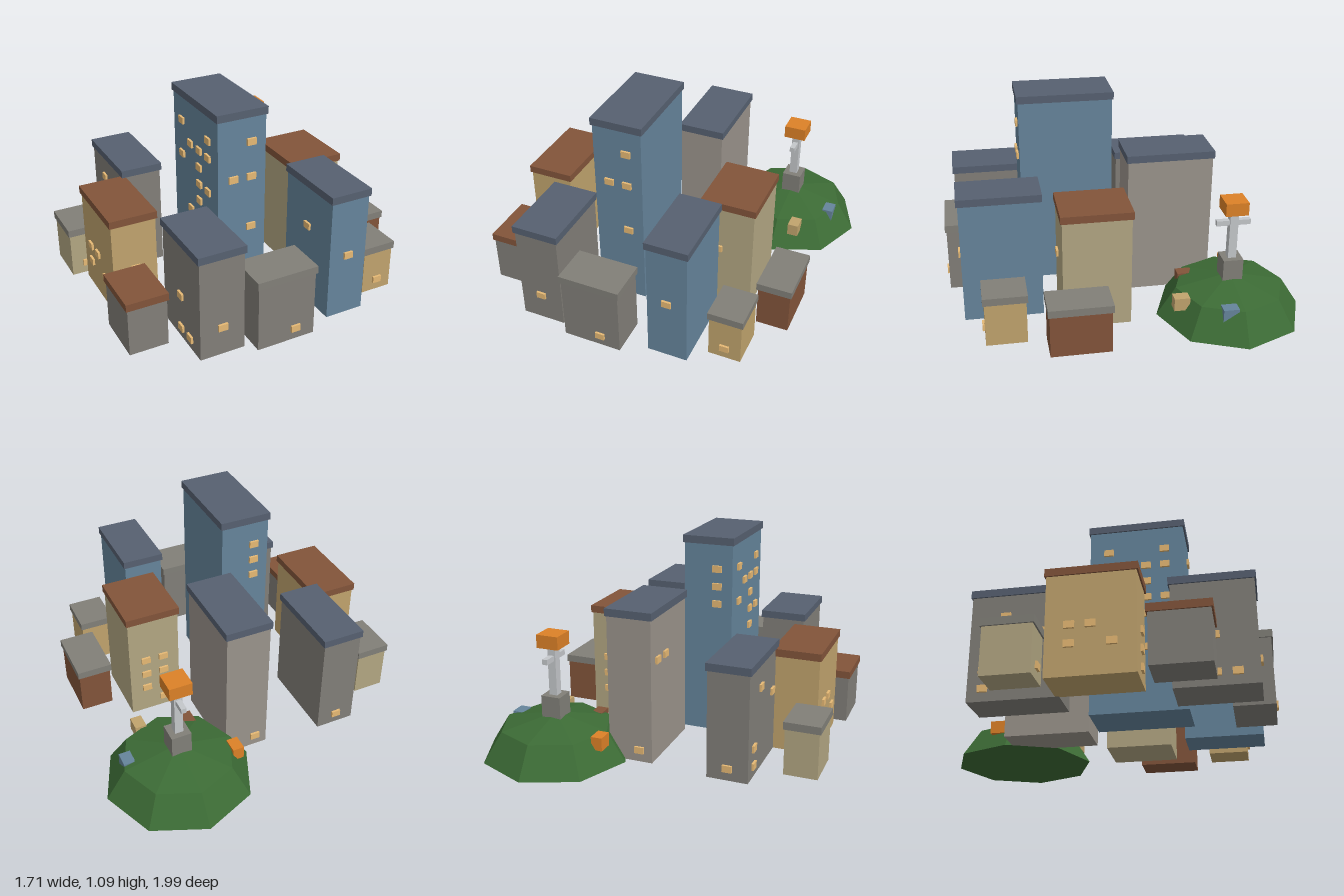
import * as THREE from 'three';

const TURN = -Math.PI / 12; // the whole town is turned to one street grid
const ROOF_H = 0.04, OVERHANG = 0.016;

const mat = (color) => new THREE.MeshStandardMaterial({ color, flatShading: true });
const M = {
  slate: mat(0x566070), brown: mat(0x82543a), grey: mat(0x817f78),
  blue: mat(0x65849b), stone: mat(0x9a938b), concrete: mat(0x817e78),
  gold: mat(0xc0a36d), khaki: mat(0xb2a682),
  glass: mat(0xe6b974), grass: mat(0x3c6b35), steel: mat(0xc4c7ca), orange: mat(0xdc8127),
};

function box(name, w, h, d, x, y, z, material) {
  const m = new THREE.Mesh(new THREE.BoxGeometry(w, h, d), material);
  m.name = name;
  m.position.set(x, y, z);
  return m;
}

// Each window code is "column row"; columns run from -x to +x or -z to +z.
function addWindows(group, w, d, windows) {
  for (const [face, cols, codes] of windows) {
    for (const code of codes.split(' ')) {
      const u = (Number(code[0]) - (cols - 1) / 2) * 0.1;
      const y = 0.065 + 0.0945 * Number(code[1]);
      if (face === 'front') group.add(box('window', 0.05, 0.036, 0.024, u, y, d / 2, M.glass));
      else {
        const side = face === 'right' ? 1 : -1;
        group.add(box('window', 0.024, 0.036, 0.05, side * w / 2, y, u, M.glass));
      }
    }
  }
}

// w and d are the roof's size, h the full height
function building(name, x, z, w, d, h, wall, roof, windows = []) {
  const g = new THREE.Group();
  g.name = name;
  const ww = w - OVERHANG, wd = d - OVERHANG;
  g.add(box('walls', ww, h - ROOF_H, wd, 0, (h - ROOF_H) / 2, 0, wall));
  g.add(box('roof', w, ROOF_H, d, 0, h - ROOF_H / 2, 0, roof));
  addWindows(g, ww, wd, windows);
  g.position.set(x, 0, z);
  g.rotation.y = TURN;
  return g;
}

function hill() {
  const g = new THREE.Group();
  g.name = 'hill';
  // faceted mound
  const profile = [[0, 0], [0.39, 0], [0.29, 0.155], [0, 0.22]].map(([r, y]) => new THREE.Vector2(r, y));
  const mound = new THREE.Mesh(new THREE.LatheGeometry(profile, 8), M.grass);
  mound.name = 'mound';
  g.add(mound);
  // lookout post
  g.add(box('pedestal', 0.106, 0.16, 0.106, 0, 0.24, 0, M.grey));
  g.add(box('post', 0.044, 0.28, 0.044, 0, 0.45, 0, M.steel));
  g.add(box('crossbar', 0.18, 0.028, 0.028, 0, 0.52, 0, M.steel));
  g.add(box('beacon', 0.12, 0.07, 0.12, 0, 0.615, 0, M.orange));
  g.position.set(-0.477, 0, -0.62);
  g.rotation.y = TURN;
  return g;
}

export function createModel() {
  const town = new THREE.Group();
  town.name = 'town';

  town.add(
    building('mainTower', 0.13, 0.2, 0.519, 0.282, 1.085, M.blue, M.slate, [
      ['front', 4, '09 39 18 28 38 07 27 26 36 25 14 23'],
      ['right', 2, '09 07 17 04'],
      ['left', 2, '19 18 17']]),
    building('backLeftBlock', -0.325, -0.16, 0.476, 0.253, 0.8, M.stone, M.slate, [
      ['front', 4, '05 15'], ['left', 2, '10']]),
    building('backBlock', 0.19, -0.345, 0.372, 0.3, 0.643, M.khaki, M.brown, [
      ['right', 2, '13'], ['left', 2, '03 13 02 12 11 01 10']]),
    building('rightTower', 0.615, -0.105, 0.432, 0.23, 0.7, M.blue, M.slate, [
      ['front', 3, '14'], ['right', 1, '03']]),
    building('leftBlock', -0.495, 0.345, 0.476, 0.23, 0.6, M.concrete, M.slate, [
      ['front', 4, '14 33 01 00'], ['left', 1, '00']]),
    building('frontBlock', -0.14, 0.665, 0.447, 0.256, 0.555, M.gold, M.brown, [
      ['front', 3, '02 12 01 21'], ['right', 1, '00 01 02']]),
    building('frontRightBlock', 0.445, 0.59, 0.426, 0.254, 0.58, M.concrete, M.slate, [
      ['front', 3, '12 10 20'], ['right', 1, '01']]),
    building('frontHouse', 0.238, 0.847, 0.301, 0.222, 0.298, M.concrete, M.brown),
    building('leftHouse', -0.526, 0.674, 0.258, 0.19, 0.285, M.khaki, M.grey, [['right', 1, '00']]),
    building('rightHouse', 0.683, 0.32, 0.224, 0.333, 0.392, M.concrete, M.grey, [['right', 2, '00']]),
    building('rightBackHouse', 0.69, -0.367, 0.227, 0.19, 0.275, M.gold, M.grey, [['right', 1, '00']]),
    building('backHouse', 0.383, -0.605, 0.327, 0.19, 0.27, M.brown, M.grey),
    hill(),
  );

  // small huts half sunk in the slope
  const huts = [[-0.346, -0.844, M.blue], [-0.172, -0.648, M.gold], [-0.31, -0.426, M.brown], [-0.62, -0.362, M.orange]];
  for (const [x, z, material] of huts) {
    const hut = box('hillHut', 0.082, 0.07, 0.06, x, 0.132, z, material);
    hut.rotation.y = TURN;
    town.add(hut);
  }
  return town;
}
